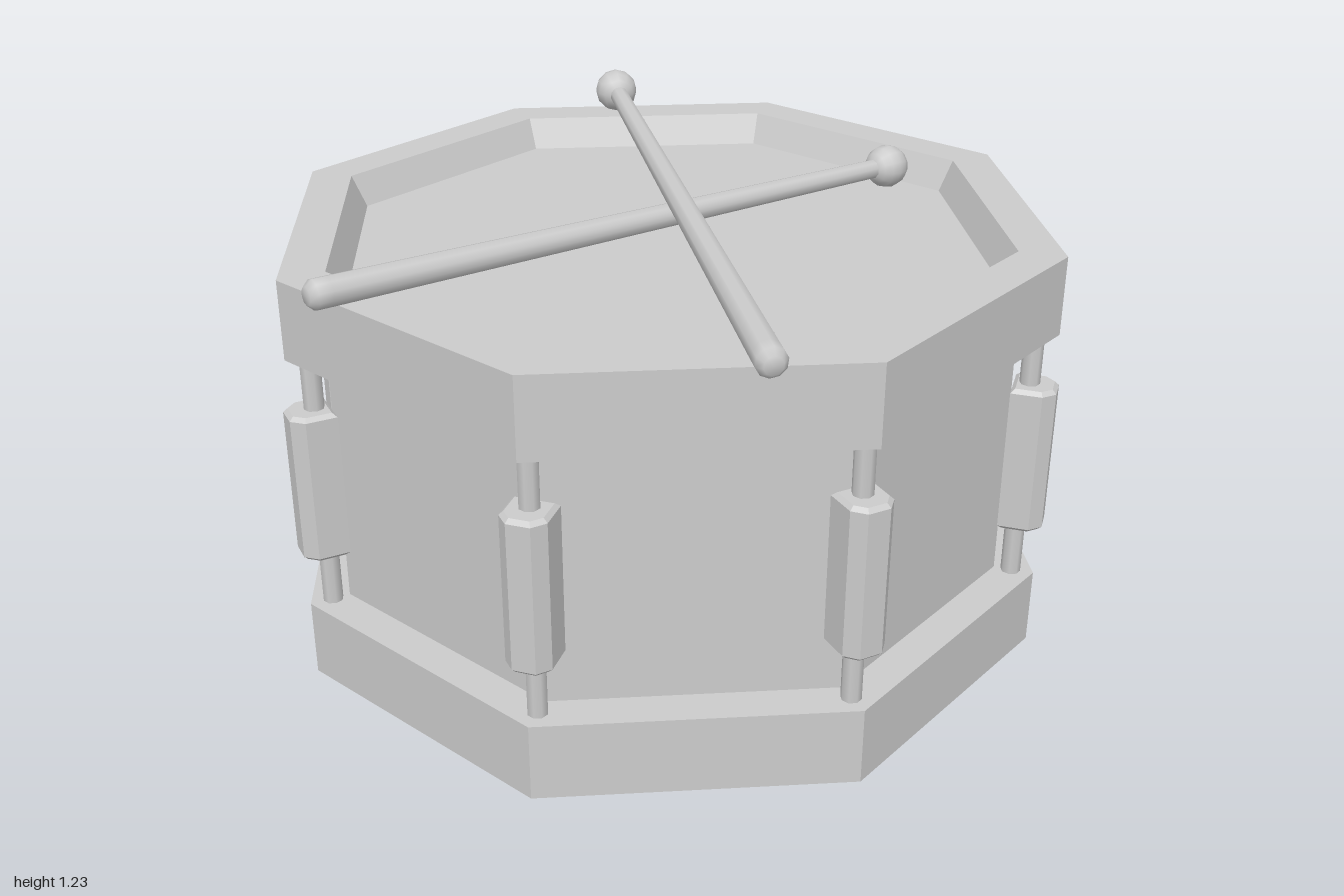
import * as THREE from 'three';

const flat = new THREE.MeshStandardMaterial({ color: 0xcccccc, flatShading: true });
const smooth = new THREE.MeshStandardMaterial({ color: 0xcccccc });

function add(parent, name, geometry, material = flat) {
  const mesh = new THREE.Mesh(geometry, material);
  mesh.name = name;
  parent.add(mesh);
  return mesh;
}

// Eight-sided turned part from [radius, height] pairs
function turned(profile, sides = 8) {
  return new THREE.LatheGeometry(profile.map(([r, y]) => new THREE.Vector2(r, y)), sides);
}

// Lug block: five-sided front with softened ends, outward along +z
function lugGeometry() {
  const shape = new THREE.Shape();
  // shape y becomes -z after the rotation below
  [[-0.046, 0.053], [0.046, 0.053], [0.046, -0.01], [0.024, -0.034], [-0.024, -0.034], [-0.046, -0.01]]
    .forEach(([x, y], i) => (i ? shape.lineTo(x, y) : shape.moveTo(x, y)));
  const g = new THREE.ExtrudeGeometry(shape, {
    depth: 0.37, bevelEnabled: true, bevelThickness: 0.01, bevelSize: 0.01, bevelSegments: 1,
  });
  g.translate(0, 0, -0.185);
  g.rotateX(-Math.PI / 2);
  return g;
}

// Drumstick: tapered shaft from butt to bead
function makeStick(name, butt, bead) {
  const stick = new THREE.Group();
  stick.name = name;
  const from = new THREE.Vector3(...butt);
  const to = new THREE.Vector3(...bead);
  const length = from.distanceTo(to);
  add(stick, 'shaft', turned([
    [0, 0], [0.022, 0], [0.036, 0.016], [0.036, 0.05], [0.025, length],
  ], 10), smooth);
  add(stick, 'bead', new THREE.SphereGeometry(0.058, 12, 8), smooth).position.y = length;
  stick.position.copy(from);
  stick.quaternion.setFromUnitVectors(new THREE.Vector3(0, 1, 0), to.sub(from).normalize());
  return stick;
}

export function createModel() {
  const drum = new THREE.Group();
  drum.name = 'drum';

  // Body and hoops
  add(drum, 'lowerHoop', turned([[0, 0], [0.99, 0], [0.99, 0.2], [0.88, 0.2]]));
  add(drum, 'shell', turned([[0.89, 0.19], [0.89, 0.88]]));
  add(drum, 'upperHoop', turned([[0.88, 0.87], [0.99, 0.87], [0.99, 1.07], [0.875, 1.07], [0.835, 0.99]]));
  add(drum, 'drumhead', turned([[0.836, 0.99], [0, 0.99]]));

  // Tension rods and lugs at the eight corners
  const lug = lugGeometry();
  const rod = new THREE.CylinderGeometry(0.025, 0.025, 0.69, 8);
  for (let i = 0; i < 8; i++) {
    const tension = new THREE.Group();
    tension.name = 'tension' + (i + 1);
    add(tension, 'rod', rod, smooth).position.set(0, 0.535, 0.932);
    add(tension, 'lug', lug).position.set(0, 0.54, 0.956);
    tension.rotation.y = (i * Math.PI) / 4;
    drum.add(tension);
  }

  // Crossed sticks leaning on the front rim
  drum.add(makeStick('upperStick', [0.505, 1.106, 0.862], [-0.355, 1.175, -0.635]));
  drum.add(makeStick('lowerStick', [-0.545, 1.106, 0.835], [0.445, 1.05, -0.577]));
  return drum;
}
